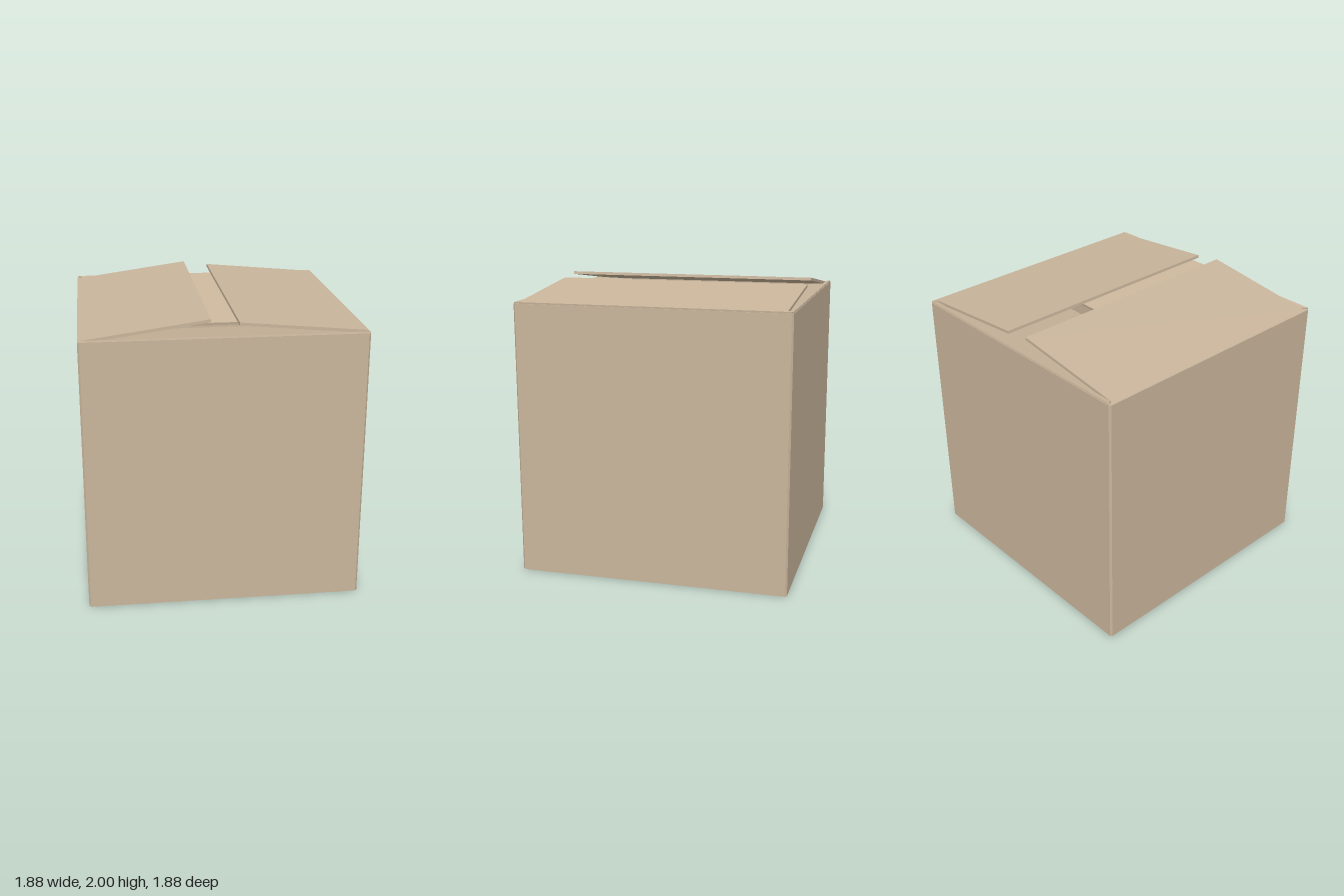
import * as THREE from 'three';

const HALF = 0.94, TOP = 1.885, T = 0.02;
const card = new THREE.MeshStandardMaterial({ color: 0xc9b59b, flatShading: true });

// Square outline with small chamfered corners
function square(half, cut, Type = THREE.Shape) {
  const k = half - cut;
  const points = [[half, -k], [half, k], [k, half], [-k, half], [-half, k], [-half, -k], [-k, -half], [k, -half]];
  return new Type(points.map(([x, y]) => new THREE.Vector2(x, y)));
}

// Extrude a flat outline upwards from y = 0
function slab(shape, height) {
  return new THREE.ExtrudeGeometry(shape, { depth: height, bevelEnabled: false }).rotateX(-Math.PI / 2);
}

function addPart(group, name, geometry) {
  const mesh = new THREE.Mesh(geometry, card);
  mesh.name = name;
  group.add(mesh);
  return mesh;
}

// Flap reaching inwards from its hinge; rise is the tip height above the hinge
function flap(reach, rise, hingeY, turn) {
  const length = Math.hypot(reach, rise);
  const outline = [[0, -0.93], [0.03, -0.9], [length, -0.9], [length, 0.9], [0.03, 0.9], [0, 0.93]];
  return slab(new THREE.Shape(outline.map(([x, y]) => new THREE.Vector2(x, y))), T)
    .translate(0, -T, 0)
    .rotateZ(Math.atan2(rise, reach))
    .translate(-0.935, hingeY, 0)
    .rotateY(turn);
}

export function createModel() {
  const group = new THREE.Group();
  group.name = 'openCardboardBox';

  // Four walls as one thin ring, with a closed floor
  const ring = square(HALF, 0.012);
  ring.holes.push(square(HALF - T, 0.005, THREE.Path));
  addPart(group, 'walls', slab(ring, TOP - 0.005).translate(0, 0.005, 0));
  addPart(group, 'floor', slab(square(HALF - 0.003, 0.012), T));

  // Inner flaps sag into the box
  addPart(group, 'frontFlap', flap(0.875, -0.18, TOP + 0.01, Math.PI / 2));
  addPart(group, 'backFlap', flap(0.875, -0.18, TOP + 0.01, -Math.PI / 2));

  // Outer flaps stand slightly raised at different angles
  addPart(group, 'rightFlap', flap(0.84, 0.116, TOP - 0.001, 0));
  addPart(group, 'leftFlap', flap(0.845, 0.077, TOP + 0.011, Math.PI));
  return group;
}
